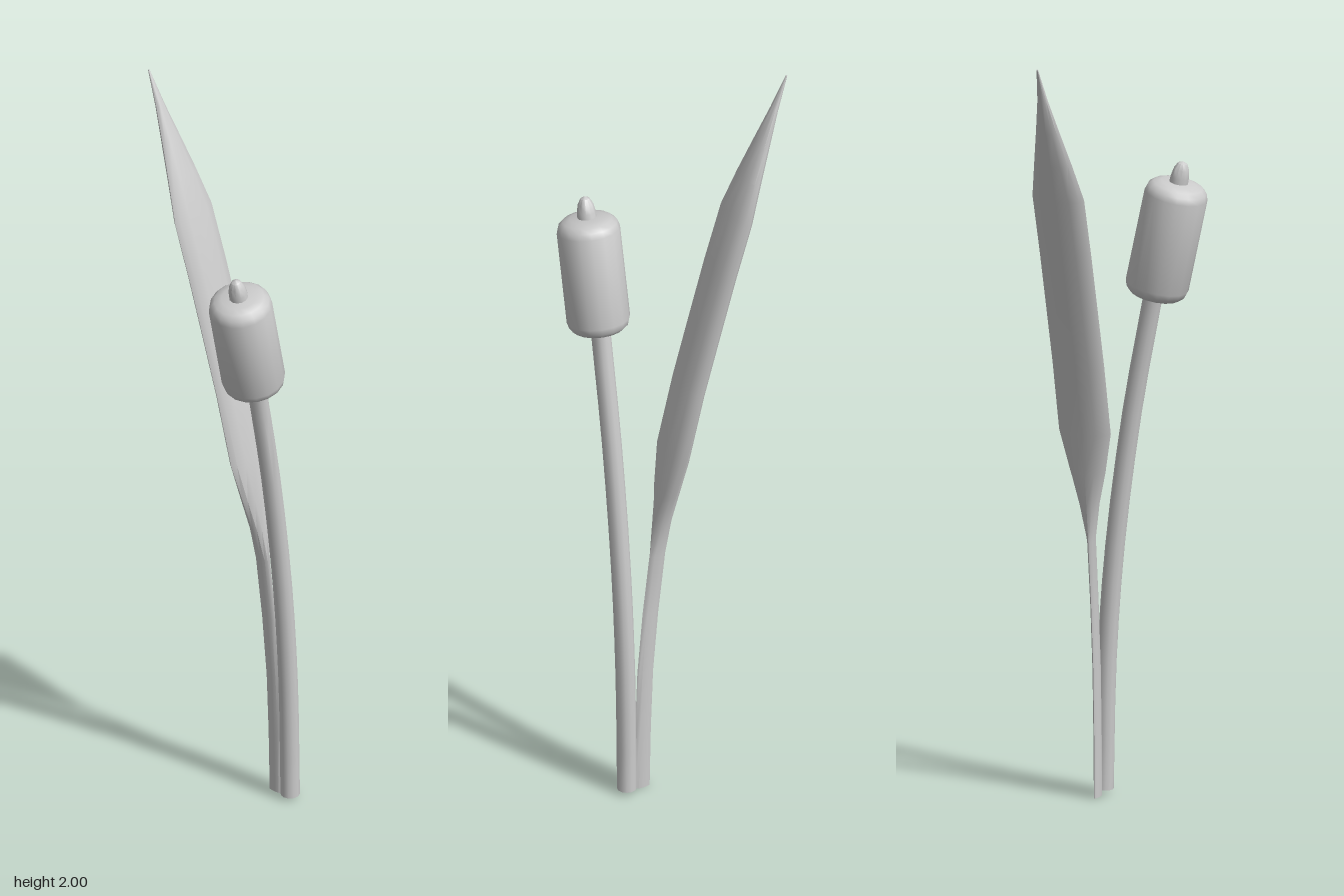
import * as THREE from 'three';
import { toCreasedNormals } from 'three/addons/utils/BufferGeometryUtils.js';

const material = new THREE.MeshStandardMaterial({ color: 0xcccccc });

const curve = (points) => new THREE.CatmullRomCurve3(points.map((p) => new THREE.Vector3(...p)));

// Sweep an ellipse along a curve; rings are [t, half width, half thickness].
// `side` is the fixed direction of the width.
function sweep(path, rings, side, sides) {
  const position = [], index = [];
  const add = (v) => position.push(v.x, v.y, v.z);
  for (const [t, w, d] of rings) {
    const centre = path.getPoint(t);
    const depth = new THREE.Vector3().crossVectors(side, path.getTangent(t)).normalize();
    for (let i = 0; i < sides; i++) {
      const a = (i / sides) * Math.PI * 2;
      add(centre.clone().addScaledVector(side, Math.cos(a) * w).addScaledVector(depth, Math.sin(a) * d));
    }
  }
  for (let r = 0; r < rings.length - 1; r++) {
    for (let i = 0; i < sides; i++) {
      const a = r * sides + i, b = r * sides + ((i + 1) % sides);
      index.push(a, a + sides, b, b, a + sides, b + sides);
    }
  }
  // End caps
  const last = (rings.length - 1) * sides, centre = rings.length * sides;
  add(path.getPoint(rings[0][0]));
  add(path.getPoint(rings[rings.length - 1][0]));
  for (let i = 0; i < sides; i++) {
    const j = (i + 1) % sides;
    index.push(centre, i, j, centre + 1, last + j, last + i);
  }
  const geometry = new THREE.BufferGeometry();
  geometry.setAttribute('position', new THREE.Float32BufferAttribute(position, 3));
  geometry.setIndex(index);
  return toCreasedNormals(geometry, 0.7);
}

function lathe(profile, sides) {
  const points = profile.map(([r, y]) => new THREE.Vector2(r, y));
  return toCreasedNormals(new THREE.LatheGeometry(points, sides), 0.7);
}

function part(name, geometry) {
  const mesh = new THREE.Mesh(geometry, material);
  mesh.name = name;
  return mesh;
}

export function createModel() {
  const model = new THREE.Group();
  model.name = 'reed';

  // Round stem bending toward -x
  const z = 0.194;
  const stemPath = curve([[0.102, 0.01, z], [0.094, 0.35, z], [0.072, 0.65, z], [0.026, 1, z], [-0.033, 1.32, z]]);
  const stemRings = Array.from({ length: 13 }, (_, i) => [i / 12, 0.025, 0.025]);
  model.add(part('stem', sweep(stemPath, stemRings, new THREE.Vector3(0, 0, 1), 12)));

  // Seed head with rounded rims, and the spike on its top
  const head = new THREE.Group();
  head.name = 'seedHead';
  head.position.set(-0.035, 1.305, z);
  head.rotation.z = 0.21;
  head.add(part('seedCylinder', lathe(
    [[0, 0], [0.045, 0.002], [0.064, 0.008], [0.076, 0.019], [0.081, 0.035],
      [0.081, 0.28], [0.076, 0.296], [0.064, 0.307], [0.045, 0.313], [0, 0.315]], 16)));
  head.add(part('spike', lathe(
    [[0.025, 0.3], [0.024, 0.328], [0.02, 0.35], [0.012, 0.365], [0, 0.371]], 12)));
  model.add(head);

  // Leaf arching backward: narrow stalk, broad blade, pointed tip
  const x = 0.101;
  const leafPath = curve([
    [x, 0, 0.15], [x, 0.34, 0.14], [x, 0.68, 0.105], [x, 1, 0.054],
    [x, 1.32, -0.032], [x, 1.63, -0.126], [x, 1.82, -0.199], [x, 2, -0.272],
  ]);
  const u = 1 / 7; // one step between path points
  const leafRings = [
    [0, 0.007, 0.023], [u * 0.5, 0.007, 0.023], [u, 0.007, 0.023], [u * 1.5, 0.007, 0.023],
    [u * 2, 0.008, 0.023], [u * 2.3, 0.026, 0.023], [u * 2.58, 0.048, 0.023], [u * 2.92, 0.07, 0.023],
    [u * 3.5, 0.07, 0.023], [u * 4, 0.07, 0.023], [u * 4.5, 0.07, 0.023], [u * 5, 0.07, 0.022],
    [u * 5.5, 0.051, 0.019], [u * 6, 0.032, 0.015], [u * 6.5, 0.014, 0.009], [1, 0.002, 0.002],
  ];
  model.add(part('leaf', sweep(leafPath, leafRings, new THREE.Vector3(1, 0, 0), 12)));

  return model;
}
